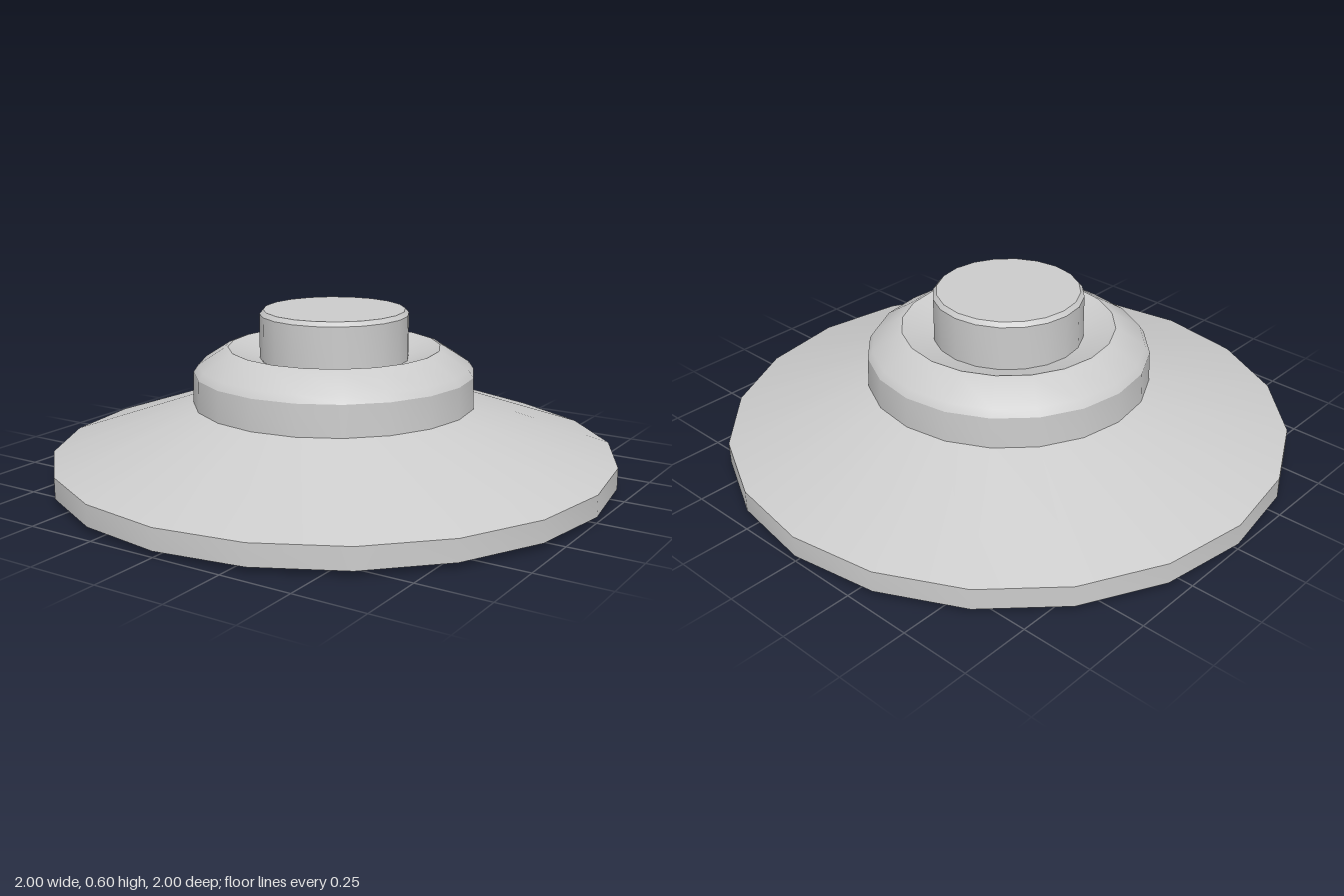
import * as THREE from 'three';
import { toCreasedNormals } from 'three/addons/utils/BufferGeometryUtils.js';

const SIDES = 20;
const material = new THREE.MeshStandardMaterial({ color: 0xcccccc });

// Turns a [radius, height] profile, listed counterclockwise, into a creased solid.
function turned(name, profile) {
  const points = profile.map(([r, y]) => new THREE.Vector2(r, y));
  const geometry = toCreasedNormals(new THREE.LatheGeometry(points, SIDES), 0.5);
  const mesh = new THREE.Mesh(geometry, material);
  mesh.name = name;
  return mesh;
}

export function createModel() {
  const group = new THREE.Group();
  group.name = 'roundBase';

  // Wide cone with a raised collar, a dished top and a stepped hollow underside
  group.add(turned('flaredBody', [
    [0.95, 0], [1, 0.02], [1, 0.095], [0.5, 0.27],
    [0.497, 0.38], [0.48, 0.405], [0.39, 0.463], [0.375, 0.468], [0.355, 0.46], [0.255, 0.425],
    [0.255, 0.415], [0.3, 0.27], [0.325, 0.24],
    [0.65, 0.15], [0.65, 0.125], [0.95, 0],
  ]));

  // Plug standing in the dish, closed at both ends
  group.add(turned('centrePlug', [
    [0, 0.415], [0.263, 0.415], [0.263, 0.585], [0.25, 0.6], [0, 0.6],
  ]));

  return group;
}
